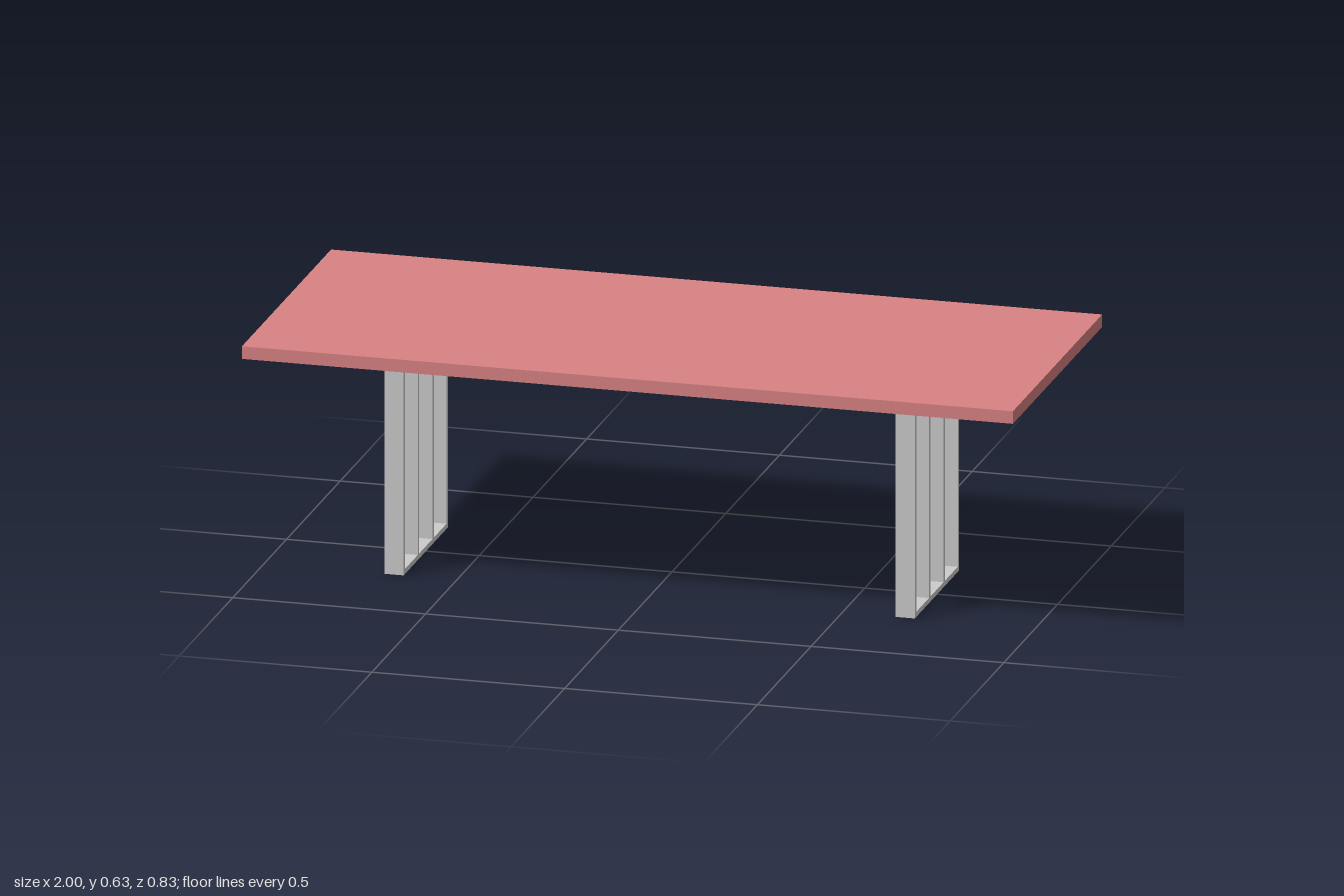
import * as THREE from 'three';

const wood = new THREE.MeshStandardMaterial({ color: 0xd98282 });
const metal = new THREE.MeshStandardMaterial({ color: 0xcccccc });

function box(name, material, [w, h, d], [x, y, z]) {
  const mesh = new THREE.Mesh(new THREE.BoxGeometry(w, h, d), material);
  mesh.name = name;
  mesh.position.set(x, y, z);
  return mesh;
}

// One leg frame: mounting plate, four flat uprights and a floor rail
function legFrame(name) {
  const bar = 0.0133, depth = 0.05, plateBottom = 0.593;
  const half = 0.2065; // half the frame's outer span
  const frame = new THREE.Group();
  frame.name = name;
  frame.add(box('mountingPlate', metal, [0.1, 0.007, 0.495], [0, plateBottom + 0.0035, 0]));
  frame.add(box('floorRail', metal, [depth, bar, 2 * (half - bar)], [0, bar / 2, 0]));
  for (const side of [-1, 1]) {
    // Outer uprights reach the floor, inner ones stand on the rail
    frame.add(box('outerUpright', metal, [depth, plateBottom, bar],
      [0, plateBottom / 2, side * (half - bar / 2)]));
    frame.add(box('innerUpright', metal, [depth, plateBottom - bar, bar],
      [0, (plateBottom + bar) / 2, side * 0.068]));
  }
  return frame;
}

export function createModel() {
  const table = new THREE.Group();
  table.name = 'table';
  table.add(box('tableTop', wood, [2, 0.033, 0.83], [0, 0.6165, 0]));
  for (const side of [-1, 1]) {
    const frame = legFrame(side > 0 ? 'leftLegFrame' : 'rightLegFrame');
    frame.position.set(side * 0.663, 0, 0.002);
    table.add(frame);
  }
  return table;
}
